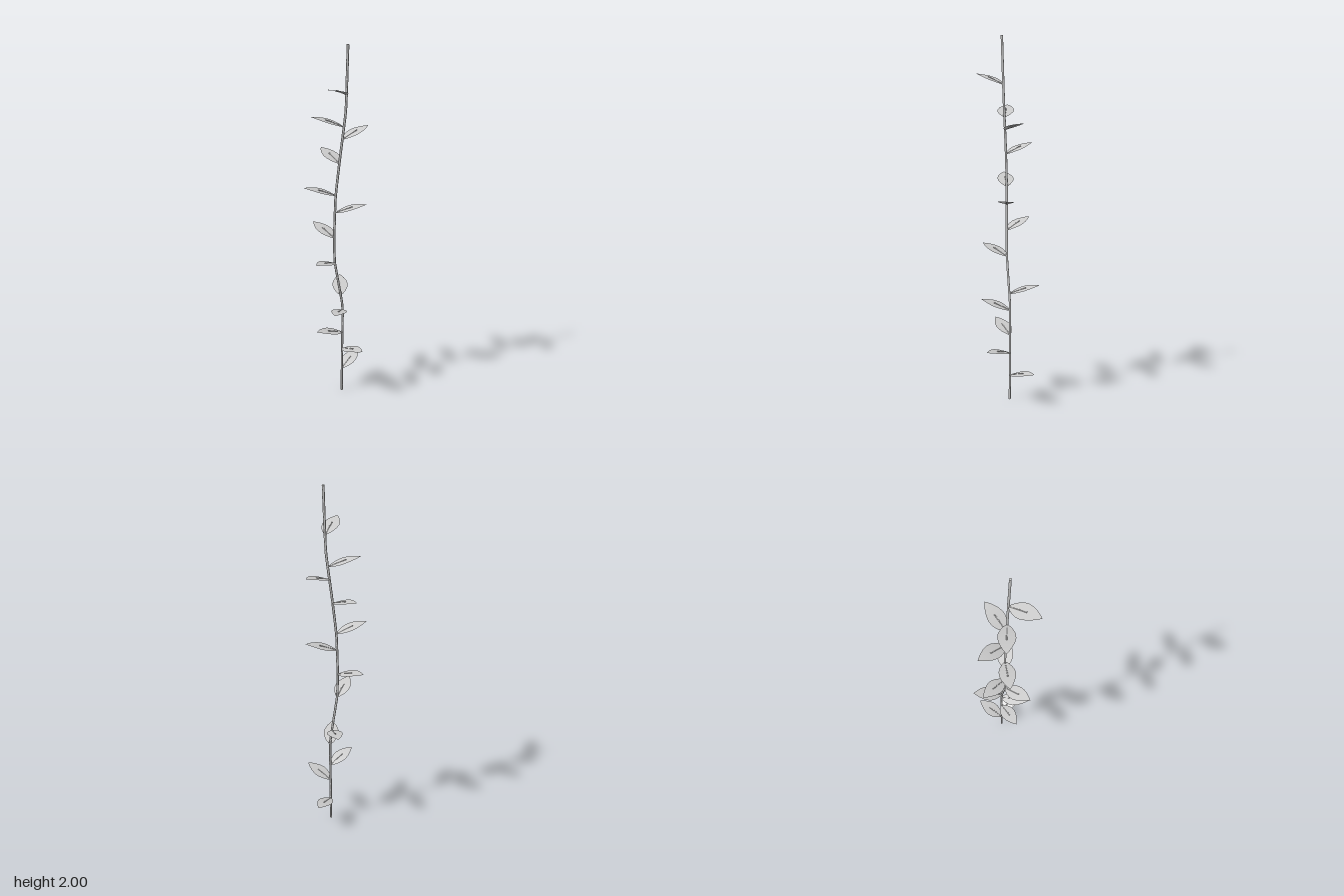
import * as THREE from 'three';

const LEAF_LENGTH = 0.166;

// Stem bends, bottom to top
const STEM = [
  [0.02, 0, 0], [0.022, 0.3, 0], [0.024, 0.56, 0], [-0.022, 0.84, -0.002], [-0.025, 1.0, -0.003],
  [-0.018, 1.22, 0.0], [0.0, 1.43, 0.014], [0.022, 1.68, 0.035], [0.026, 2, 0.047],
].map((p) => new THREE.Vector3(...p));

// Each leaf: height of its base on the stem, then x and z of its tip
const LEAVES = [
  [0.15, 0.17, -0.08], [0.287, 0.068, 0.158], [0.394, -0.142, 0.013], [0.54, -0.085, 0.125],
  [0.633, 0.083, -0.155], [0.838, -0.167, 0.077], [0.985, -0.075, -0.16], [1.13, 0.125, 0.077],
  [1.227, -0.173, -0.055], [1.402, -0.027, -0.147], [1.53, 0.17, -0.005], [1.595, -0.127, -0.053],
  [1.76, -0.12, 0.127],
];

// Half width of the blade along its length
const OUTLINE = [
  [0, 0.003], [0.08, 0.017], [0.2, 0.031], [0.34, 0.041], [0.48, 0.043],
  [0.64, 0.037], [0.8, 0.024], [0.91, 0.012], [1, 0],
];

// Upward arch of the leaf, flattening towards the tip
const arch = (t) => 0.076 * t - 0.027 * t * t;

function stemAt(y) {
  const i = STEM.findIndex((p, k) => k > 0 && p.y >= y);
  const a = STEM[i - 1], b = STEM[i];
  return a.clone().lerp(b, (y - a.y) / (b.y - a.y));
}

// Thin blade growing along +z from the origin
function bladeGeometry() {
  const pos = [], index = [];
  OUTLINE.forEach(([t, w], i) => {
    for (const s of [-1, 0, 1]) pos.push(s * w, arch(t), t * LEAF_LENGTH);
    if (i === 0) return;
    for (let c = 0; c < 2; c++) {
      const a = (i - 1) * 3 + c, b = a + 3;
      index.push(a, b, a + 1);
      if (i < OUTLINE.length - 1 || c === 1) index.push(a + 1, b, b + 1);
    }
  });
  const g = new THREE.BufferGeometry();
  g.setAttribute('position', new THREE.Float32BufferAttribute(pos, 3));
  g.setIndex(index);
  g.computeVertexNormals();
  return g;
}

// Short stalk lying along the first half of the blade
function stalkGeometry() {
  const a = new THREE.Vector3(0, 0, 0);
  const b = new THREE.Vector3(0, arch(0.55) + 0.001, 0.55 * LEAF_LENGTH);
  const dir = b.clone().sub(a);
  const g = new THREE.CylinderGeometry(0.0035, 0.0035, dir.length(), 5);
  g.applyQuaternion(new THREE.Quaternion().setFromUnitVectors(new THREE.Vector3(0, 1, 0), dir.normalize()));
  g.translate(0, b.y / 2, b.z / 2);
  return g;
}

export function createModel() {
  const group = new THREE.Group();
  group.name = 'leafyTwig';
  const stemMat = new THREE.MeshStandardMaterial({ color: 0xcccccc });
  const leafMat = new THREE.MeshStandardMaterial({ color: 0xcccccc, side: THREE.DoubleSide });

  // Stem with closed ends
  const curve = new THREE.CatmullRomCurve3(STEM, false, 'catmullrom', 0.2);
  const stem = new THREE.Mesh(new THREE.TubeGeometry(curve, 48, 0.0065, 6), stemMat);
  stem.name = 'stem';
  group.add(stem);
  for (const [end, name, turn] of [[0, 'stemBottom', Math.PI / 2], [STEM.length - 1, 'stemTop', -Math.PI / 2]]) {
    const cap = new THREE.Mesh(new THREE.CircleGeometry(0.0065, 6), stemMat);
    cap.name = name;
    cap.rotation.x = turn;
    cap.position.copy(STEM[end]);
    group.add(cap);
  }

  // Leaves turned around the stem
  const blade = bladeGeometry(), stalk = stalkGeometry();
  LEAVES.forEach(([y, tipX, tipZ], i) => {
    const leaf = new THREE.Group();
    leaf.name = `leaf${i + 1}`;
    const bladeMesh = new THREE.Mesh(blade, leafMat);
    bladeMesh.name = 'blade';
    const stalkMesh = new THREE.Mesh(stalk, stemMat);
    stalkMesh.name = 'stalk';
    leaf.add(bladeMesh, stalkMesh);
    leaf.position.copy(stemAt(y));
    leaf.rotation.y = Math.atan2(tipX - leaf.position.x, tipZ - leaf.position.z);
    group.add(leaf);
  });
  return group;
}
